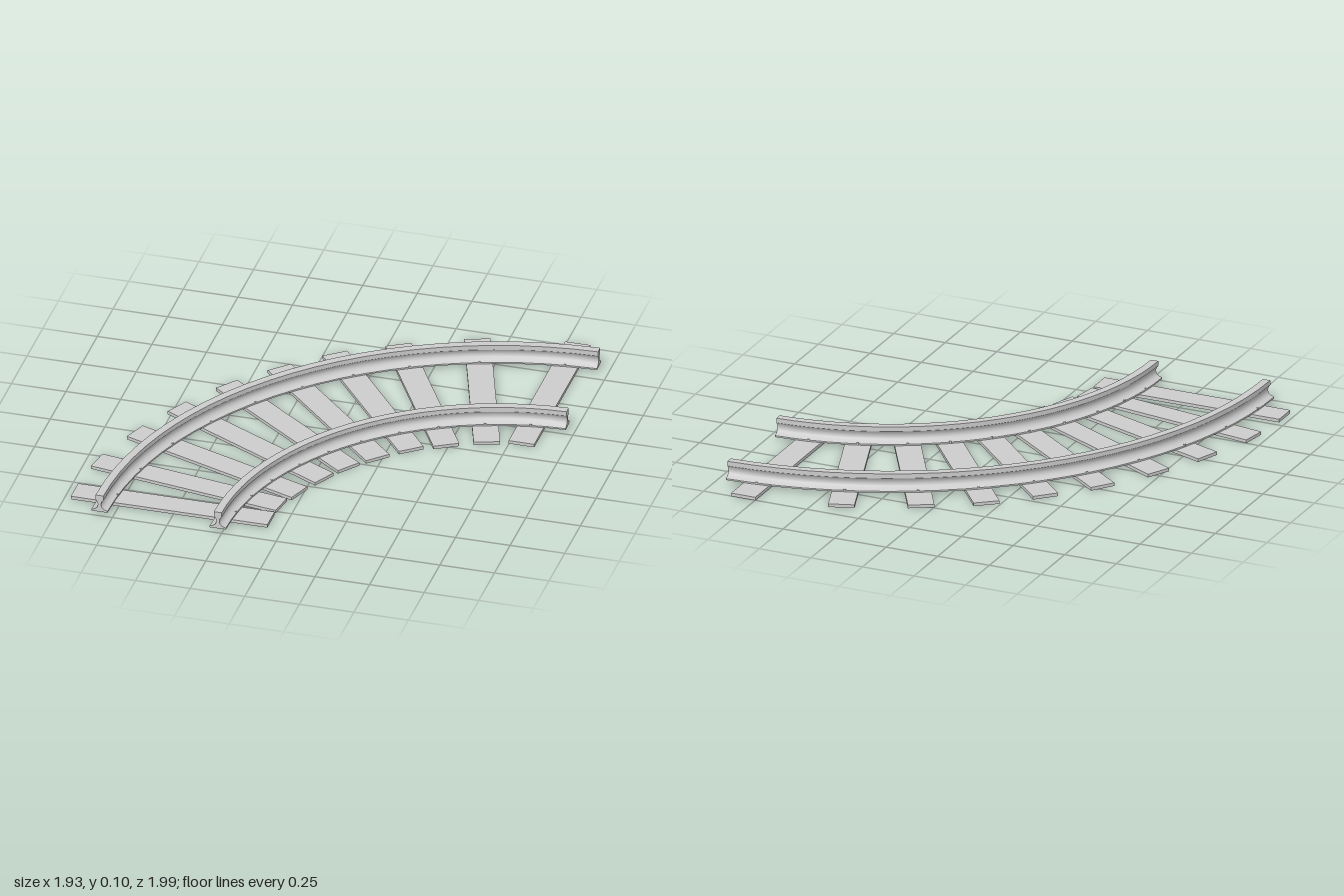
import * as THREE from 'three';
import { toCreasedNormals } from 'three/addons/utils/BufferGeometryUtils.js';

const DEG = Math.PI / 180;
const CENTER = { x: 1.005, z: 0.978 };      // centre of the curve
const RAILS = [
  { name: 'outerRail', radius: 1.817, start: 181.7, end: 270.4 },
  { name: 'innerRail', radius: 1.276, start: 181.9, end: 270.4 },
];

// Sleepers: centre x, centre z, angle in degrees
const SLEEPERS = [
  [-0.52, 0.838, 0], [-0.504, 0.634, 9.5], [-0.435, 0.427, 20.3], [-0.34, 0.224, 27.8],
  [-0.224, 0.038, 37.3], [-0.082, -0.121, 45.2], [0.079, -0.269, 52], [0.272, -0.383, 60.4],
  [0.515, -0.491, 71.3], [0.807, -0.552, 90],
];
const SLEEPER = { length: 0.9, height: 0.015, width: 0.117 };

// Half of the rail section: half width, height (foot, web, head)
const HALF = [
  [0.037, 0.015], [0.037, 0.022], [0.02, 0.028], [0.01, 0.037],
  [0.007, 0.05], [0.009, 0.063], [0.018, 0.075], [0.018, 0.097],
];

const grey = new THREE.MeshStandardMaterial({ color: 0xcccccc });
const greyDouble = new THREE.MeshStandardMaterial({ color: 0xcccccc, side: THREE.DoubleSide });

function railSection(radius) {
  const outer = HALF.map(([w, y]) => new THREE.Vector2(radius + w, y));
  const inner = HALF.map(([w, y]) => new THREE.Vector2(radius - w, y)).reverse();
  return [...outer, ...inner];
}

function makeRail({ name, radius, start, end }) {
  const rail = new THREE.Group();
  rail.name = name;
  rail.position.set(CENTER.x, 0, CENTER.z);

  // Swept body
  const section = railSection(radius);
  const sweep = new THREE.LatheGeometry([...section, section[0].clone()], 24, start * DEG, (end - start) * DEG);
  const body = new THREE.Mesh(toCreasedNormals(sweep, 0.63), grey);
  body.name = name + 'Body';
  rail.add(body);

  // Flat ends
  for (const angle of [start, end]) {
    const cap = new THREE.Mesh(new THREE.ShapeGeometry(new THREE.Shape(section)), greyDouble);
    cap.name = name + 'End';
    cap.rotation.y = (angle - 90) * DEG;
    rail.add(cap);
  }
  return rail;
}

// Signed distance along a sleeper from its centre to a rail's centreline
function crossing([x, z, angle], radius) {
  const px = x - CENTER.x, pz = z - CENTER.z;
  const b = px * Math.cos(angle * DEG) + pz * Math.sin(angle * DEG);
  return -b - Math.sqrt(b * b - (px * px + pz * pz - radius * radius));
}

function makeSleeper(data) {
  const [x, z, angle] = data;
  const group = new THREE.Group();
  group.name = 'sleeper';
  group.position.set(x, 0, z);
  group.rotation.y = -angle * DEG;

  const { length, height, width } = SLEEPER;
  const plank = new THREE.Mesh(new THREE.BoxGeometry(length, height, width), grey);
  plank.name = 'sleeperPlank';
  plank.position.y = height / 2;
  group.add(plank);

  // Spikes holding both sides of each rail foot
  for (const { radius } of RAILS) {
    for (const side of [-1, 1]) {
      const spike = new THREE.Mesh(new THREE.CylinderGeometry(0.005, 0.005, 0.014, 8), grey);
      spike.name = 'railSpike';
      spike.position.set(crossing(data, radius) + side * 0.033, 0.02, 0);
      group.add(spike);
    }
  }
  return group;
}

export function createModel() {
  const track = new THREE.Group();
  track.name = 'curvedTrack';
  RAILS.forEach((rail) => track.add(makeRail(rail)));
  SLEEPERS.forEach((sleeper) => track.add(makeSleeper(sleeper)));
  return track;
}
